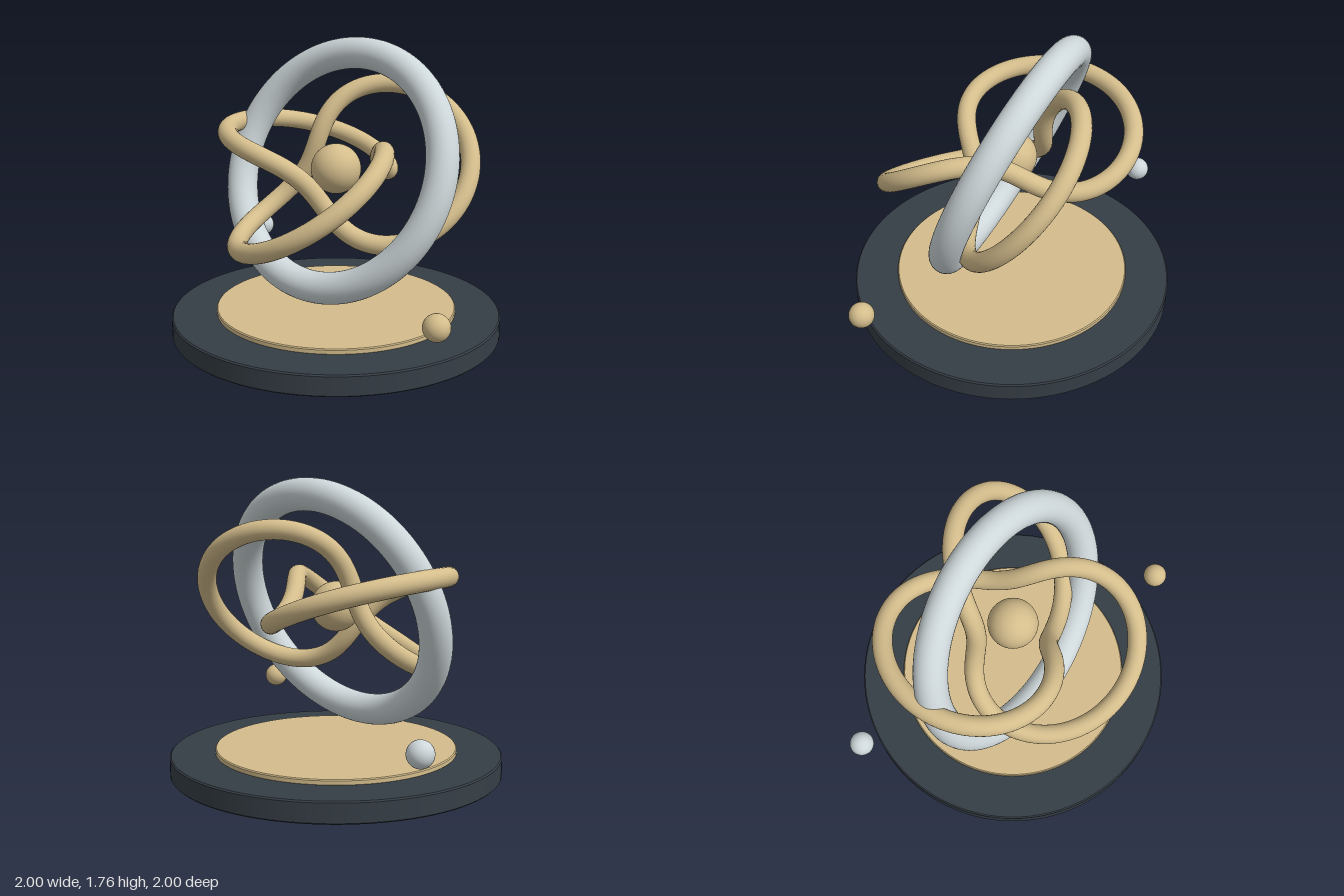
import * as THREE from 'three';

export function createModel() {
  const model = new THREE.Group();
  const mat = (name, color) => {
    const m = new THREE.MeshStandardMaterial({ color });
    m.name = name;
    return m;
  };
  const gold = mat('pale gold', 0xd4bd8c);
  const silver = mat('silver', 0xced7da);
  const slate = mat('dark slate', 0x363e46);

  const add = (name, geometry, material, x = 0, y = 0, z = 0) => {
    const mesh = new THREE.Mesh(geometry, material);
    mesh.name = name;
    mesh.position.set(x, y, z);
    model.add(mesh);
    return mesh;
  };

  // Disc with a small chamfer; each straight run is a separate lathe so edges stay sharp
  const disc = (name, radius, y0, y1, bevel, material) => {
    const group = new THREE.Group();
    group.name = name;
    const p = [
      [0, y0], [radius - bevel, y0], [radius, y0 + bevel],
      [radius, y1 - bevel], [radius - bevel, y1], [0, y1],
    ].map(([x, y]) => new THREE.Vector2(x, y));
    for (let i = 0; i < p.length - 1; i++) {
      const face = new THREE.Mesh(new THREE.LatheGeometry([p[i], p[i + 1]], 96), material);
      face.name = name + 'Face';
      group.add(face);
    }
    model.add(group);
  };

  // Plinth and inlaid plate
  disc('base', 1, 0, 0.125, 0.008, slate);
  disc('basePlate', 0.73, 0.12, 0.155, 0.006, gold);

  // Tilted outer ring
  const ring = add('ring', new THREE.TorusGeometry(0.713, 0.095, 32, 128), silver, 0, 1, 0);
  ring.quaternion.setFromUnitVectors(
    new THREE.Vector3(0, 0, 1),
    new THREE.Vector3(-0.277, 0.36, 0.89).normalize()
  );

  // Trefoil band, oriented by its axis and the direction of its front lobe
  const axis = new THREE.Vector3(-0.03, 0.912, 0.41).normalize();
  const side = new THREE.Vector3().crossVectors(axis, new THREE.Vector3(-0.19, -0.42, 0.885)).normalize();
  const lobe = new THREE.Vector3().crossVectors(side, axis);
  const knot = add('knot', new THREE.TorusKnotGeometry(0.532, 0.058, 320, 24, 2, 3), gold, 0, 1, 0);
  knot.quaternion.setFromRotationMatrix(new THREE.Matrix4().makeBasis(lobe, side, axis));

  // Core and two small satellites
  add('core', new THREE.SphereGeometry(0.15, 48, 32), gold, 0, 1, 0);
  const bead = new THREE.SphereGeometry(0.075, 32, 24);
  add('frontBead', bead, gold, 0.81, 0.38, 0.755);
  add('backBead', bead, silver, -0.81, 0.38, -0.755);

  return model;
}
